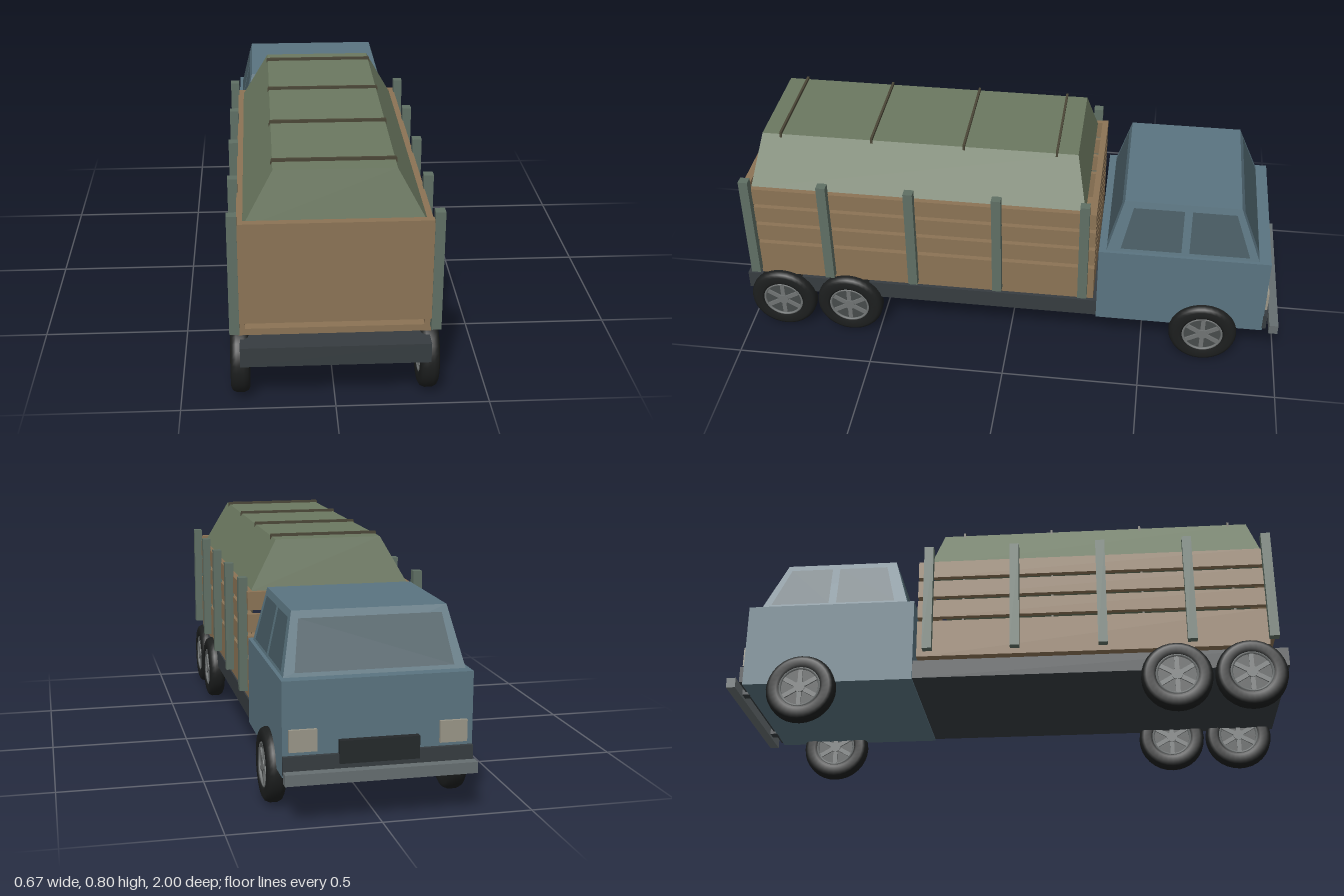
import * as THREE from 'three';

const mat = (color, opts = {}) => new THREE.MeshStandardMaterial({ color, ...opts });

export function createModel() {
  const truck = new THREE.Group();
  truck.name = 'stakeBedTruck';

  const paint = mat(0x5a7480), wood = mat(0x8b7355), stakeMat = mat(0x5f6f64);
  const dark = mat(0x363c40), black = mat(0x24282a), steel = mat(0x666e70);
  const canvas = mat(0x6b7860), strapMat = mat(0x4a4636), lampMat = mat(0x9a9688);
  const glass = mat(0x465a62, { side: THREE.DoubleSide });
  const rubber = mat(0x1c1e1e), rimMat = mat(0x707474), rimDark = mat(0x474b4b);

  const add = (name, geo, material, parent = truck) => {
    const m = new THREE.Mesh(geo, material);
    m.name = name;
    parent.add(m);
    return m;
  };

  // Box given by its limits on each axis
  const box = (name, [x0, x1], [y0, y1], [z0, z1], material, parent) => {
    const g = new THREE.BoxGeometry(x1 - x0, y1 - y0, z1 - z0);
    g.translate((x0 + x1) / 2, (y0 + y1) / 2, (z0 + z1) / 2);
    return add(name, g, material, parent);
  };

  // Box whose top face is smaller than its bottom; levels are { y, x, z: [min, max] }
  const frustum = (name, lo, hi, material) => {
    const g = new THREE.BoxGeometry(2, 2, 2);
    const p = g.attributes.position;
    for (let i = 0; i < p.count; i++) {
      const l = p.getY(i) > 0 ? hi : lo;
      p.setXYZ(i, p.getX(i) * l.x, l.y, l.z[p.getZ(i) > 0 ? 1 : 0]);
    }
    g.computeVertexNormals();
    return add(name, g, material);
  };

  const quad = (name, a, b, c, d, material) => {
    const g = new THREE.BufferGeometry();
    g.setAttribute('position', new THREE.Float32BufferAttribute([...a, ...b, ...c, ...d], 3));
    g.setIndex([0, 1, 2, 0, 2, 3]);
    g.computeVertexNormals();
    return add(name, g, material);
  };

  // Chassis and cab
  box('chassis', [-0.305, 0.305], [0.16, 0.228], [-0.33, 1], dark);
  box('cabBody', [-0.31, 0.31], [0.155, 0.465], [-0.942, -0.328], paint);
  const lo = { y: 0.465, x: 0.297, z: [-0.9, -0.355] };
  const hi = { y: 0.66, x: 0.255, z: [-0.82, -0.41] };
  frustum('cabRoof', lo, hi, paint);

  // Windows lie just outside the sloping cab faces
  const at = (a, b, y) => THREE.MathUtils.lerp(a, b, (y - lo.y) / (hi.y - lo.y));
  const yb = 0.478, yt = 0.637, off = 0.003;
  for (const s of [-1, 1]) {
    const side = (y, z) => [s * (at(lo.x, hi.x, y) + off), y, z];
    quad('rearSideWindow', side(yb, -0.405), side(yb, -0.622), side(yt, -0.622), side(yt, -0.443), glass);
    quad('frontSideWindow', side(yb, -0.65), side(yb, -0.865), side(yt, -0.805), side(yt, -0.65), glass);
  }
  const across = (name, k, d) => {
    const pt = (x, y) => [x, y, at(lo.z[k], hi.z[k], y) + d];
    quad(name, pt(-0.26, yb), pt(0.26, yb), pt(0.235, yt), pt(-0.235, yt), glass);
  };
  across('windshield', 0, -off);
  across('rearWindow', 1, off);

  // Nose: lower band, grille, lamps and bumper
  box('noseBand', [-0.31, 0.31], [0.165, 0.225], [-0.955, -0.94], dark);
  box('grille', [-0.13, 0.13], [0.195, 0.27], [-0.965, -0.94], black);
  box('bumper', [-0.312, 0.312], [0.145, 0.182], [-1, -0.967], steel);
  for (const s of [-1, 1]) {
    box('headlight', [s * 0.245 - 0.045, s * 0.245 + 0.045], [0.238, 0.31], [-0.953, -0.94], lampMat);
    box('bumperBracket', [s * 0.2 - 0.02, s * 0.2 + 0.02], [0.155, 0.175], [-0.97, -0.94], dark);
  }

  // Cargo bed: floor, slatted sides and front, solid tailgate
  box('bedFloor', [-0.3, 0.3], [0.242, 0.265], [-0.3, 0.94], wood);
  const planks = [[0.242, 0.382], [0.398, 0.466], [0.481, 0.546], [0.561, 0.626]];
  for (const y of planks) {
    for (const s of [-1, 1]) {
      box('sidePlank', [s * 0.298 - 0.01, s * 0.298 + 0.01], y, [-0.295, 0.94], wood);
    }
    box('frontPlank', [-0.308, 0.308], y, [-0.315, -0.293], wood);
  }
  box('tailgate', [-0.313, 0.313], [0.3, 0.646], [0.942, 0.968], wood);

  // Upright stakes along both sides
  for (const z of [0.954, 0.67, 0.355, 0.04, -0.275]) {
    for (const s of [-1, 1]) {
      box('stake', [s * 0.321 - 0.016, s * 0.321 + 0.016], [0.262, 0.674], [z - 0.017, z + 0.017], stakeMat);
    }
  }

  // Covered load and its tie straps
  frustum('tarpaulin', { y: 0.622, x: 0.29, z: [-0.275, 0.942] },
    { y: 0.798, x: 0.192, z: [-0.236, 0.906] }, canvas);
  for (const z of [0.838, 0.506, 0.172, -0.16]) {
    box('strapTop', [-0.195, 0.195], [0.798, 0.808], [z - 0.004, z + 0.004], strapMat);
    for (const s of [-1, 1]) {
      const leg = box('strapLeg', [-0.004, 0.004], [-0.275, 0.275], [z - 0.004, z + 0.004], strapMat);
      leg.position.set(s * 0.208, 0.53, 0);
      leg.rotation.z = s * 0.055;
    }
  }

  // Wheels: rounded tyre, recessed rim, six spokes and a hub; axis along x
  const tyreProfile = [[0.074, -0.026], [0.084, -0.031], [0.108, -0.031], [0.119, -0.025], [0.125, -0.012],
    [0.125, 0.012], [0.119, 0.025], [0.108, 0.031], [0.084, 0.031], [0.074, 0.026], [0.074, -0.026]]
    .map(([r, h]) => new THREE.Vector2(r, h));
  const tyreGeo = new THREE.LatheGeometry(tyreProfile, 32).rotateZ(-Math.PI / 2);
  const discGeo = new THREE.CylinderGeometry(0.075, 0.075, 0.038, 32).rotateZ(-Math.PI / 2);
  const lipGeo = new THREE.TorusGeometry(0.072, 0.005, 6, 32).rotateY(Math.PI / 2);
  const hubGeo = new THREE.CylinderGeometry(0.02, 0.02, 0.056, 16).rotateZ(-Math.PI / 2);
  const spokeGeo = new THREE.BoxGeometry(0.05, 0.06, 0.016).translate(0, 0.042, 0);
  for (const z of [0.866, 0.608, -0.726]) {
    for (const s of [-1, 1]) {
      const wheel = new THREE.Group();
      wheel.name = 'wheel';
      wheel.position.set(s * 0.306, 0.13, z);
      add('tyre', tyreGeo, rubber, wheel);
      add('rimDisc', discGeo, rimDark, wheel);
      add('hub', hubGeo, rimMat, wheel);
      for (const e of [-1, 1]) add('rimLip', lipGeo, rimMat, wheel).position.x = e * 0.024;
      for (let i = 0; i < 6; i++) add('spoke', spokeGeo, rimMat, wheel).rotation.x = (i * Math.PI) / 3;
      truck.add(wheel);
    }
  }

  // Stand the tyres on the ground
  truck.children.forEach((c) => { c.position.y -= 0.005; });
  return truck;
}
